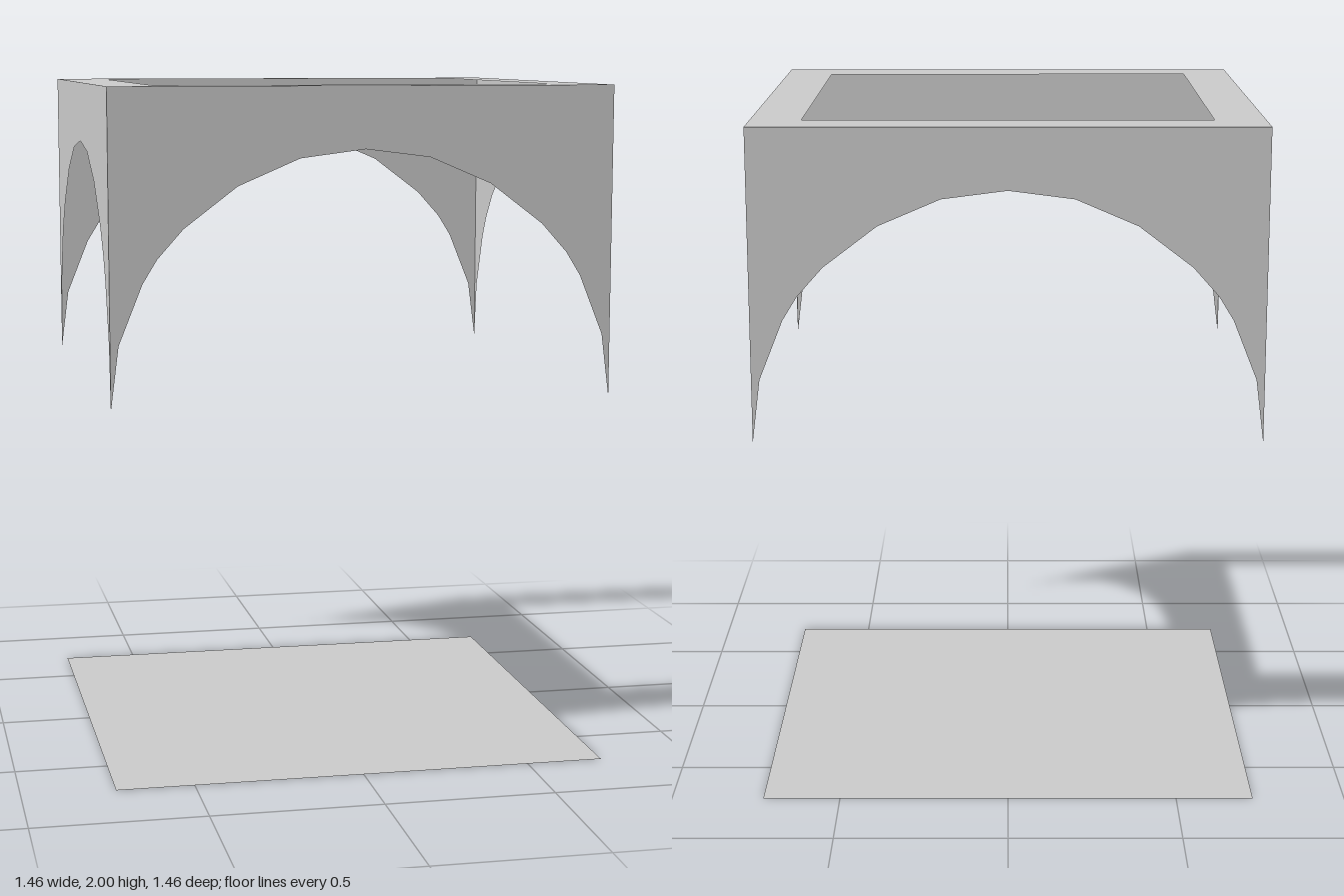
import * as THREE from 'three';

const HALF = 0.728;  // half width of the canopy and floor
const HOLE = 0.582;  // half width of the roof opening
const TOP = 2;

const material = new THREE.MeshStandardMaterial({
  color: 0xcccccc, flatShading: true, side: THREE.DoubleSide,
});

// Right half of the arch, from the springing point up to the crown
const ARCH = [
  [HALF, 1.098], [0.704, 1.283], [0.635, 1.455], [0.593, 1.523],
  [0.519, 1.606], [0.365, 1.723], [0.187, 1.799], [0, 1.823],
];

function squarePoints(h) {
  return [[-h, -h], [h, -h], [h, h], [-h, h]].map(([x, y]) => new THREE.Vector2(x, y));
}

function sheet(shape, name) {
  const mesh = new THREE.Mesh(new THREE.ShapeGeometry(shape), material);
  mesh.name = name;
  return mesh;
}

export function createModel() {
  const model = new THREE.Group();
  model.name = 'archedCanopy';

  // Thin floor square
  const floor = sheet(new THREE.Shape(squarePoints(HALF)), 'floor');
  floor.rotation.x = -Math.PI / 2;
  model.add(floor);

  // Flat roof border around a square opening
  const border = new THREE.Shape(squarePoints(HALF));
  border.holes.push(new THREE.Path(squarePoints(HOLE).reverse()));
  const roof = sheet(border, 'roofBorder');
  roof.rotation.x = -Math.PI / 2;
  roof.position.y = TOP;
  model.add(roof);

  // Four thin arched walls
  const mirrored = ARCH.slice(0, -1).reverse().map(([x, y]) => [-x, y]);
  const outline = [[HALF, TOP], [-HALF, TOP], ...mirrored.reverse(), ...ARCH.slice().reverse()];
  const wallShape = new THREE.Shape(outline.map(([x, y]) => new THREE.Vector2(x, y)));
  ['frontWall', 'leftWall', 'backWall', 'rightWall'].forEach((name, i) => {
    const wall = sheet(wallShape, name);
    const angle = i * Math.PI / 2;
    wall.rotation.y = angle;
    wall.position.set(Math.sin(angle) * HALF, 0, Math.cos(angle) * HALF);
    model.add(wall);
  });

  return model;
}
